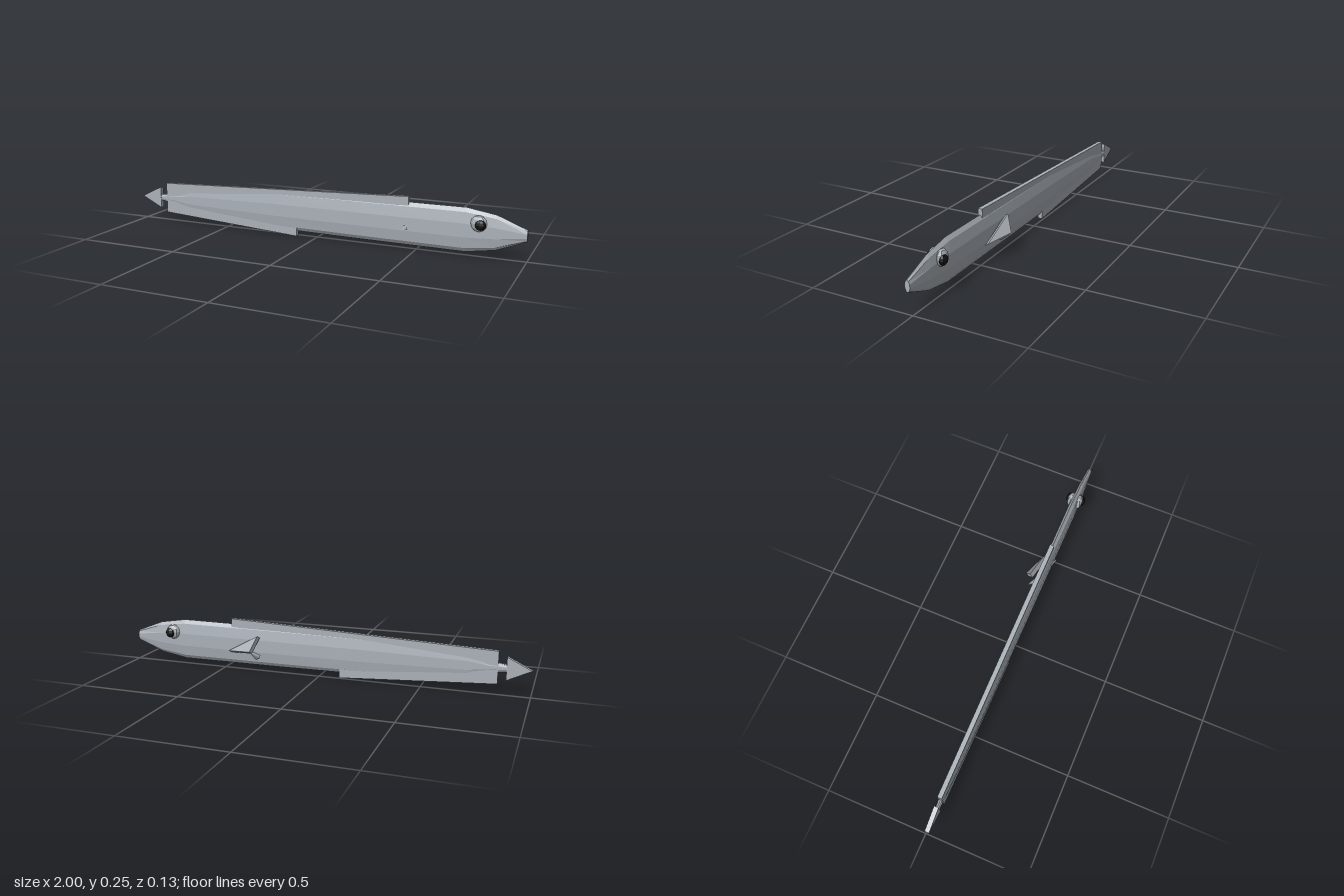
import * as THREE from 'three';
import { ConvexGeometry } from 'three/addons/geometries/ConvexGeometry.js';

const MID_Y = 0.125, MID_Z = 0.018;

export function createModel() {
  const fish = new THREE.Group();
  fish.name = 'fish';
  const skin = new THREE.MeshStandardMaterial({ name: 'silver grey', color: 0xaab1b8, flatShading: true });
  const black = new THREE.MeshStandardMaterial({ name: 'pupil black', color: 0x141414, flatShading: true });

  function add(name, geometry, material = skin) {
    const mesh = new THREE.Mesh(geometry, material);
    mesh.name = name;
    fish.add(mesh);
    return mesh;
  }

  // Body: a ten-sided tube shaped by rings of [x, half height, half width]
  const rings = [
    [-0.89, 0.018, 0.011], [-0.8, 0.03, 0.013], [-0.71, 0.068, 0.014], [-0.2, 0.096, 0.019],
    [0.2, 0.1, 0.021], [0.73, 0.102, 0.022], [0.865, 0.08, 0.019], [1, 0.027, 0.0125],
  ];
  const steps = rings.length - 1;
  const body = new THREE.CylinderGeometry(1, 1, 2, 10, steps, false, Math.PI / 2);
  body.rotateZ(-Math.PI / 2);
  const p = body.attributes.position;
  for (let i = 0; i < p.count; i++) {
    const [x, h, w] = rings[Math.round((p.getX(i) + 1) / 2 * steps)];
    p.setXYZ(i, x, MID_Y + p.getY(i) * h, MID_Z + p.getZ(i) * w);
  }
  body.computeVertexNormals();
  add('body', body);

  // Flat fins along the centre plane
  function flatFin(name, points) {
    const depth = 0.022;
    const shape = new THREE.Shape(points.map(([x, y]) => new THREE.Vector2(x, y)));
    const geometry = new THREE.ExtrudeGeometry(shape, { depth, bevelEnabled: false });
    geometry.translate(0, 0, MID_Z - depth / 2);
    add(name, geometry);
  }
  flatFin('dorsalFin', [[-0.85, 0.125], [0.465, 0.212], [0.465, 0.253], [-0.85, 0.204]]);
  flatFin('analFin', [[-0.85, 0.05], [-0.1, 0.003], [-0.1, 0.045], [-0.85, 0.125]]);
  flatFin('tailFin', [[-1, 0.125], [-0.887, 0.07], [-0.887, 0.18]]);

  // Pectoral fins: triangular plates given thickness along an offset
  function pectoral(name, corners, offset) {
    const outer = corners.map(c => new THREE.Vector3(...c));
    const shift = new THREE.Vector3(...offset);
    add(name, new ConvexGeometry([...outer, ...outer.map(v => v.clone().add(shift))]));
  }
  pectoral('upperPectoralFin',
    [[0.47, 0.095, -0.02], [0.31, 0.185, -0.032], [0.34, 0.11, -0.065]], [-0.007, -0.011, 0.017]);
  pectoral('lowerPectoralFin',
    [[0.47, 0.105, 0.05], [0.33, 0.056, 0], [0.3, 0.076, -0.03]], [-0.008, 0.016, -0.006]);

  // Eyes on both sides: a flattened ball with a bulging pupil
  for (const side of [1, -1]) {
    const label = side > 0 ? 'front' : 'back';
    const ball = add(label + 'Eye', new THREE.SphereGeometry(1, 8, 6));
    ball.scale.set(0.037, 0.038, 0.021);
    ball.position.set(0.79, 0.163, MID_Z + side * 0.019);
    const pupil = add(label + 'Pupil', new THREE.SphereGeometry(1, 8, 6), black);
    pupil.scale.set(0.026, 0.024, 0.017);
    pupil.position.set(0.8, 0.159, MID_Z + side * 0.032);
  }
  return fish;
}
